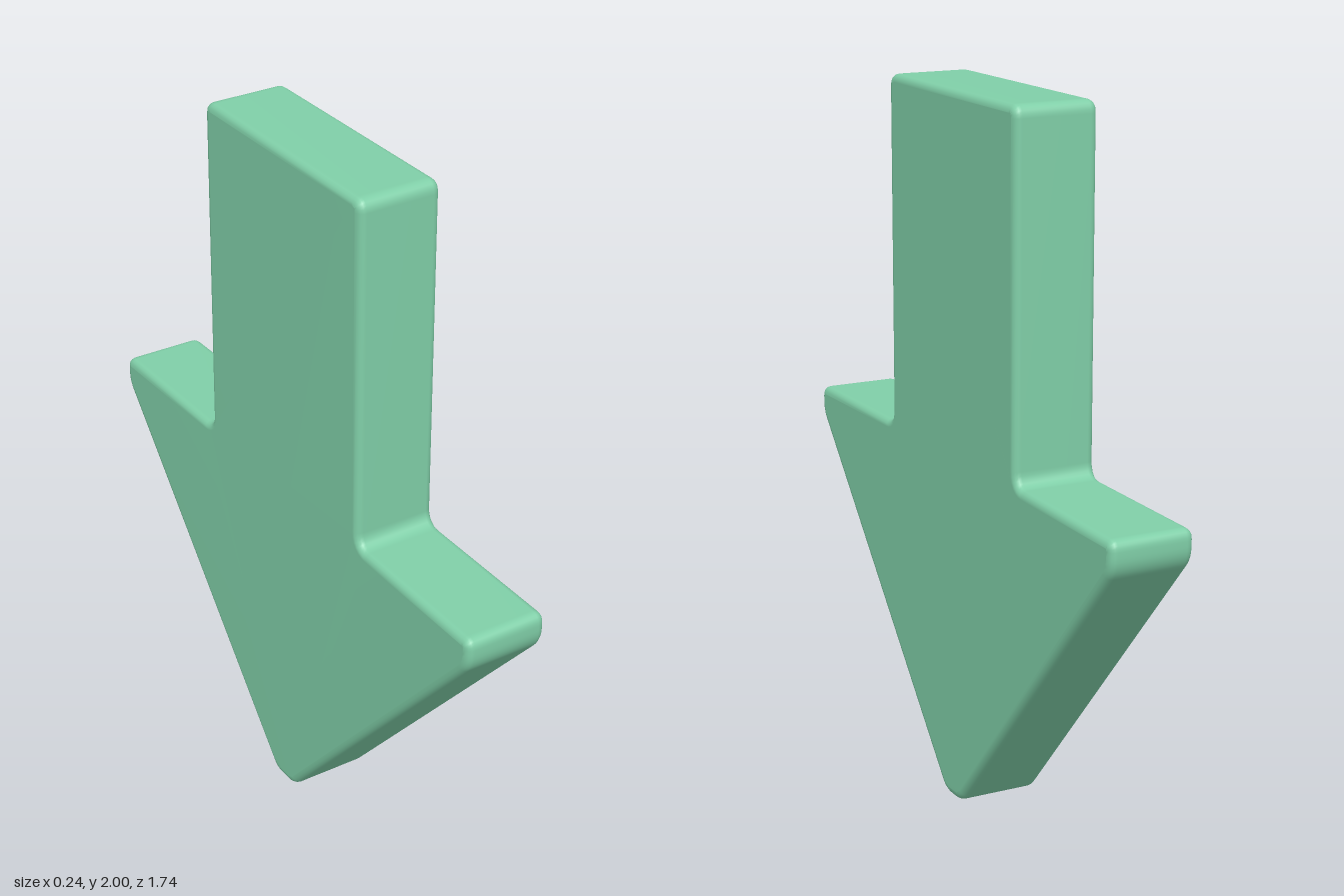
import * as THREE from 'three';
import { mergeVertices } from 'three/addons/utils/BufferGeometryUtils.js';

// Closed outline whose corners [x, y, radius] are rounded off
function roundedOutline(corners) {
  const shape = new THREE.Shape();
  const n = corners.length;
  const toward = ([x, y, r], [px, py]) => {
    const d = Math.hypot(px - x, py - y);
    return [x + (px - x) * r / d, y + (py - y) * r / d];
  };
  corners.forEach((c, i) => {
    const a = toward(c, corners[(i + n - 1) % n]);
    const b = toward(c, corners[(i + 1) % n]);
    if (i === 0) shape.moveTo(...a);
    else shape.lineTo(...a);
    shape.quadraticCurveTo(c[0], c[1], ...b);
  });
  shape.closePath();
  return shape;
}

export function createModel() {
  const group = new THREE.Group();
  group.name = 'downArrow';

  // Half outline from the tip up to the stem top, then mirrored
  const half = [
    [0.045, 0, 0.03],
    [0.87, 0.925, 0.035],
    [0.87, 1.005, 0.03],
    [0.37, 1.01, 0.04],
    [0.37, 2, 0.035],
  ];
  const mirrored = half.map(([x, y, r]) => [-x, y, r]).reverse();
  const outline = roundedOutline([...half, ...mirrored]);

  // Thick slab with rounded edges, turned to face sideways
  const width = 0.24, bevel = 0.022;
  let geometry = new THREE.ExtrudeGeometry(outline, {
    depth: width - 2 * bevel,
    bevelThickness: bevel,
    bevelSize: bevel,
    bevelOffset: -bevel,
    bevelSegments: 4,
    curveSegments: 6,
  });
  geometry.translate(0, 0, bevel - width / 2);
  geometry.rotateY(Math.PI / 2);

  // Shared vertices give smooth shading around the rounded edges
  geometry.deleteAttribute('normal');
  geometry.deleteAttribute('uv');
  geometry = mergeVertices(geometry, 1e-4);
  geometry.computeVertexNormals();

  const arrow = new THREE.Mesh(geometry, new THREE.MeshStandardMaterial({ color: 0x80cfa8 }));
  arrow.name = 'arrow';
  group.add(arrow);
  return group;
}
